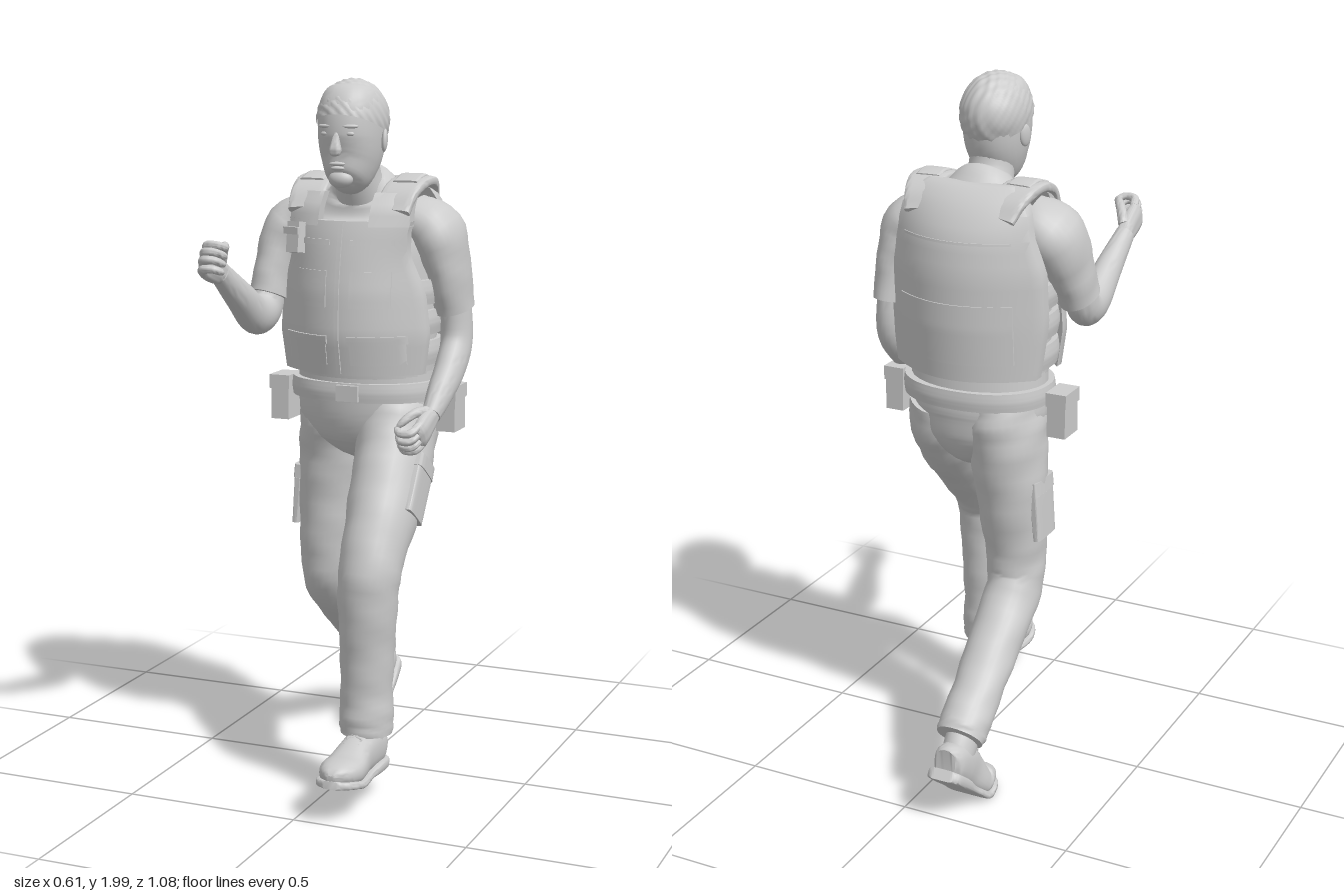
import * as THREE from 'three';
import { toCreasedNormals } from 'three/addons/utils/BufferGeometryUtils.js';

const material = new THREE.MeshStandardMaterial({ color: 0xcccccc, side: THREE.DoubleSide });
const V = (x, y, z) => new THREE.Vector3(x, y, z);

function add(parent, name, geometry, x = 0, y = 0, z = 0) {
  const mesh = new THREE.Mesh(geometry, material);
  mesh.name = name;
  mesh.position.set(x, y, z);
  parent.add(mesh);
  return mesh;
}

// Closed skin over rings of equal point count; both ends are zipped shut
function skin(rings) {
  const n = rings[0].length, last = (rings.length - 1) * n, index = [];
  for (let i = 0; i < rings.length - 1; i++) {
    for (let j = 0; j < n; j++) {
      const a = i * n + j, b = i * n + (j + 1) % n;
      index.push(a, b, b + n, a, b + n, a + n);
    }
  }
  for (let j = 0; j < n / 2 - 1; j++) {
    const a = j, b = j + 1, c = n - 2 - j, d = n - 1 - j;
    index.push(c, b, a, d, c, a);
    index.push(last + a, last + b, last + c, last + a, last + c, last + d);
  }
  const g = new THREE.BufferGeometry().setFromPoints(rings.flat());
  g.setIndex(index);
  return toCreasedNormals(g, 0.9);
}

// Loft through sections [x, y, z, half width, half depth]; power above 2 squares the section
function loft(sections, { power = 2, sides = 28, steps = 5, wrinkle = 0 } = {}) {
  const path = new THREE.CatmullRomCurve3(sections.map(s => V(s[0], s[1], s[2])), false, 'catmullrom', 0.5);
  const size = new THREE.CatmullRomCurve3(sections.map(s => V(s[3], s[4], 0)), false, 'catmullrom', 0.5);
  const count = (sections.length - 1) * steps, rings = [];
  const bend = c => Math.sign(c) * Math.abs(c) ** (2 / power);
  for (let i = 0; i <= count; i++) {
    const c = path.getPoint(i / count), r = size.getPoint(i / count), t = path.getTangent(i / count);
    const side = V(1, 0, 0).addScaledVector(t, -t.x).normalize();
    const front = t.clone().cross(side);
    rings.push(Array.from({ length: sides }, (_, j) => {
      const q = j / sides * Math.PI * 2;
      const k = 1 + wrinkle * Math.sin(i * 1.5 + 2 * Math.sin(q)) * Math.sin(q * 2 + i * 0.35);
      return c.clone().addScaledVector(side, r.x * k * bend(Math.cos(q))).addScaledVector(front, r.y * k * bend(Math.sin(q)));
    }));
  }
  return skin(rings);
}

const ball = (x, y, z) => new THREE.SphereGeometry(1, 20, 14).scale(x, y, z);

// Vest surface rows [y, half width, z at centre, how far the sides curve round]
const frontRows = [[1.19, 0.205, 0.175, 0.1], [1.3, 0.22, 0.197, 0.12], [1.42, 0.208, 0.193, 0.11],
  [1.52, 0.172, 0.178, 0.07], [1.6, 0.175, 0.162, 0.055], [1.65, 0.195, 0.142, 0.055], [1.7, 0.195, 0.1, 0.05]];
const backRows = [[1.2, 0.215, -0.215, 0.1], [1.35, 0.235, -0.228, 0.12], [1.5, 0.232, -0.228, 0.11],
  [1.6, 0.2, -0.212, 0.08], [1.68, 0.185, -0.168, 0.05], [1.725, 0.13, -0.11, 0.02]];

function rowAt(rows, y) {
  let i = 0;
  while (i < rows.length - 2 && y > rows[i + 1][0]) i++;
  const t = (y - rows[i][0]) / (rows[i + 1][0] - rows[i][0]);
  return rows[i].map((v, k) => THREE.MathUtils.lerp(v, rows[i + 1][k], t));
}

// Curved slab on the vest; x limits default to the full vest width
function panel(rows, dir, y0, y1, { x0, x1, lift = 0, thick = 0.02, nx = 20, ny = 16 } = {}) {
  const rings = [];
  for (let i = 0; i <= ny; i++) {
    const y = THREE.MathUtils.lerp(y0, y1, i / ny), [, half, z, sag] = rowAt(rows, y);
    const a = x0 ?? -half, b = x1 ?? half, outer = [], inner = [];
    for (let j = 0; j <= nx; j++) {
      const x = dir > 0 ? a + (b - a) * j / nx : b + (a - b) * j / nx;
      const d = z - dir * sag * (x / half) ** 2 + dir * lift;
      outer.push(V(x, y, d));
      inner.unshift(V(x, y, d - dir * thick));
    }
    rings.push([...outer, ...inner]);
  }
  return skin(rings);
}

// Half-closed hand: fingers along +y, palm facing +z
function makeHand(name, wrist, dir, palm, thumbSide, scale) {
  const hand = new THREE.Group();
  hand.name = name;
  add(hand, 'palm', loft([[0, -0.015, 0, 0.024, 0.02], [0, 0.025, 0, 0.034, 0.019], [0, 0.07, 0, 0.038, 0.017], [0, 0.088, 0.002, 0.03, 0.009]]));
  for (let i = 0; i < 4; i++) {
    const x = -0.028 + i * 0.0187, l = i === 0 || i === 3 ? -0.007 : 0;
    add(hand, 'finger', loft([[x, 0.07, 0, 0.01, 0.01], [x, 0.107 + l, 0.01, 0.0105, 0.0105], [x, 0.113 + l, 0.036, 0.009, 0.009],
      [x, 0.09, 0.05, 0.008, 0.008], [x, 0.082, 0.049, 0.003, 0.003]], { sides: 12 }));
  }
  const s = thumbSide;
  add(hand, 'thumb', loft([[s * 0.022, 0.01, 0.004, 0.013, 0.013], [s * 0.04, 0.042, 0.02, 0.012, 0.012],
    [s * 0.037, 0.075, 0.04, 0.01, 0.01], [s * 0.03, 0.09, 0.05, 0.004, 0.004]], { sides: 12 }));
  const y = dir.normalize(), x = y.clone().cross(palm).normalize(), z = x.clone().cross(y);
  hand.quaternion.setFromRotationMatrix(new THREE.Matrix4().makeBasis(x, y, z));
  hand.position.copy(wrist);
  hand.scale.setScalar(scale);
  return hand;
}

// Laced shoe, heel at the origin and toe towards +z; the toe bends at the ball
function makeShoe(name, toeBend) {
  const shoe = new THREE.Group();
  shoe.name = name;
  const flex = g => {
    const p = g.attributes.position;
    for (let i = 0; i < p.count; i++) {
      const y = p.getY(i), z = p.getZ(i) - 0.21;
      const q = toeBend * THREE.MathUtils.clamp(z / 0.05, 0, 1);
      if (z > 0) p.setXYZ(i, p.getX(i), y * Math.cos(q) + z * Math.sin(q), 0.21 + z * Math.cos(q) - y * Math.sin(q));
    }
    return toCreasedNormals(g, 0.9);
  };
  const plan = [[0, 0.03, 0.08], [0.02, 0.045, 0.105], [0.08, 0.049, 0.125], [0.14, 0.049, 0.113],
    [0.2, 0.058, 0.087], [0.25, 0.06, 0.075], [0.295, 0.045, 0.06], [0.32, 0.014, 0.035]];
  add(shoe, 'upper', flex(loft(plan.map(([z, w, h]) => [0, h / 2 + 0.004, z, w, h / 2]), { power: 2.4 })));
  add(shoe, 'sole', flex(loft(plan.map(([z, w]) => [0, z < 0.1 ? 0.014 : 0.011, z * 1.02 - 0.003, w + 0.006, z < 0.1 ? 0.016 : 0.011]), { power: 6 })));
  add(shoe, 'ankleCollar', loft([[0, 0.07, 0.062, 0.045, 0.055], [0, 0.12, 0.06, 0.046, 0.055], [0, 0.16, 0.06, 0.046, 0.052]]));
  for (let i = 0; i < 4; i++) {
    for (const s of [-1, 1]) {
      const lace = add(shoe, 'lace', new THREE.CapsuleGeometry(0.0035, 0.045, 3, 8).rotateZ(Math.PI / 2), 0, 0.127 - i * 0.011, 0.125 + i * 0.02);
      lace.rotation.set(0.45, s * 0.4, 0);
    }
  }
  return shoe;
}

export function createModel() {
  const model = new THREE.Group();
  model.name = 'runningOfficer';

  // Trousers and shirt
  const cloth = { wrinkle: 0.028 };
  add(model, 'hips', loft([[0, 0.915, -0.05, 0.03, 0.05], [0, 0.95, -0.05, 0.1, 0.1], [0, 1.0, -0.045, 0.178, 0.135], [0, 1.06, -0.035, 0.202, 0.153], [0, 1.12, -0.03, 0.203, 0.157], [0, 1.2, -0.025, 0.2, 0.155]], { steps: 8 }));
  add(model, 'leftTrouserLeg', loft([[0.088, 1.12, -0.06, 0.1, 0.12], [0.1, 1.04, -0.025, 0.107, 0.142], [0.11, 0.94, 0.045, 0.108, 0.132], [0.12, 0.82, 0.145, 0.1, 0.113],
    [0.123, 0.69, 0.238, 0.088, 0.092], [0.12, 0.6, 0.257, 0.085, 0.086], [0.116, 0.46, 0.252, 0.077, 0.079], [0.113, 0.33, 0.25, 0.073, 0.074],
    [0.113, 0.245, 0.25, 0.076, 0.08], [0.113, 0.2, 0.252, 0.073, 0.076]], cloth));
  add(model, 'rightTrouserLeg', loft([[-0.088, 1.12, -0.05, 0.1, 0.125], [-0.1, 1.04, -0.055, 0.107, 0.135], [-0.11, 0.93, -0.06, 0.106, 0.117], [-0.12, 0.78, -0.053, 0.098, 0.1],
    [-0.125, 0.64, -0.045, 0.086, 0.088], [-0.13, 0.54, -0.07, 0.08, 0.085], [-0.13, 0.425, -0.19, 0.077, 0.074], [-0.133, 0.325, -0.305, 0.072, 0.067],
    [-0.135, 0.255, -0.39, 0.072, 0.073], [-0.135, 0.228, -0.422, 0.068, 0.068]], cloth));
  add(model, 'shirt', loft([[0, 1.15, -0.025, 0.198, 0.15], [0, 1.3, -0.02, 0.205, 0.165], [0, 1.45, -0.02, 0.2, 0.165],
    [0, 1.55, -0.02, 0.195, 0.15], [0, 1.63, -0.02, 0.175, 0.115], [0, 1.69, 0, 0.11, 0.09], [0, 1.725, 0.025, 0.07, 0.07]]));
  add(model, 'leftSleeve', loft([[0.13, 1.625, -0.03, 0.06, 0.085], [0.204, 1.578, -0.035, 0.076, 0.1], [0.235, 1.48, -0.052, 0.058, 0.094], [0.246, 1.36, -0.077, 0.053, 0.078]], cloth));
  add(model, 'rightSleeve', loft([[-0.13, 1.625, 0, 0.06, 0.085], [-0.208, 1.578, 0.015, 0.076, 0.1], [-0.24, 1.48, 0.055, 0.058, 0.085], [-0.25, 1.39, 0.09, 0.055, 0.07]], cloth));

  // Arms and hands
  add(model, 'leftArm', loft([[0.246, 1.42, -0.065, 0.045, 0.055], [0.255, 1.28, -0.07, 0.044, 0.055], [0.256, 1.2, -0.015, 0.042, 0.052], [0.251, 1.135, 0.055, 0.036, 0.042], [0.247, 1.085, 0.11, 0.026, 0.031]]));
  add(model, 'rightArm', loft([[-0.25, 1.45, 0.07, 0.045, 0.055], [-0.254, 1.36, 0.11, 0.046, 0.055], [-0.25, 1.35, 0.19, 0.045, 0.055], [-0.246, 1.41, 0.29, 0.039, 0.045], [-0.25, 1.49, 0.405, 0.027, 0.032]]));
  model.add(makeHand('leftHand', V(0.247, 1.085, 0.11), V(-0.05, -0.5, 0.8), V(-1, 0, 0), -1, 1.12));
  model.add(makeHand('rightHand', V(-0.25, 1.49, 0.405), V(0, 0.42, 0.9), V(1, 0, 0), 1, 1.2));

  // Shoes
  const leftShoe = makeShoe('leftShoe', 0.15);
  leftShoe.position.set(0.113, 0.085, 0.19);
  leftShoe.rotation.x = -0.05;
  const rightShoe = makeShoe('rightShoe', 0.6);
  rightShoe.position.set(-0.135, 0.152, -0.535);
  rightShoe.rotation.x = 0.68;
  model.add(leftShoe, rightShoe);

  // Head and face
  const head = new THREE.Group();
  head.name = 'head';
  model.add(head);
  add(head, 'neck', loft([[0, 1.66, 0, 0.08, 0.08], [0, 1.73, 0.04, 0.064, 0.068], [0, 1.82, 0.06, 0.06, 0.072]]));
  add(head, 'skull', loft([[0, 1.703, 0.14, 0.022, 0.03], [0, 1.725, 0.125, 0.054, 0.068], [0, 1.77, 0.1, 0.075, 0.094], [0, 1.82, 0.085, 0.085, 0.112],
    [0, 1.88, 0.08, 0.088, 0.116], [0, 1.93, 0.075, 0.085, 0.108], [0, 1.97, 0.07, 0.064, 0.08], [0, 1.985, 0.068, 0.02, 0.03]], { power: 2.2 }));
  const hair = new THREE.SphereGeometry(1, 72, 40, 0, Math.PI * 2, 0, 1.8).rotateX(-0.4);
  const hp = hair.attributes.position;
  for (let i = 0; i < hp.count; i++) {
    const v = V().fromBufferAttribute(hp, i);
    v.multiplyScalar(1 + 0.02 * Math.sin(v.x * 19 + v.y * 9) * Math.sin(v.z * 21 - v.y * 11));
    hp.setXYZ(i, v.x, v.y, v.z);
  }
  hair.scale(0.096, 0.112, 0.124).computeVertexNormals();
  add(head, 'hair', hair, 0, 1.886, 0.075);
  add(head, 'nose', loft([[0, 1.863, 0.185, 0.008, 0.008], [0, 1.835, 0.195, 0.011, 0.012], [0, 1.808, 0.2, 0.018, 0.017], [0, 1.797, 0.196, 0.012, 0.01]], { sides: 16 }));
  add(head, 'upperLip', ball(0.024, 0.006, 0.009), 0, 1.772, 0.187);
  add(head, 'lowerLip', ball(0.02, 0.006, 0.009), 0, 1.76, 0.184);
  add(head, 'chin', ball(0.035, 0.025, 0.025), 0, 1.73, 0.162);
  for (const s of [-1, 1]) {
    add(head, 'eye', ball(0.014, 0.007, 0.008), s * 0.035, 1.853, 0.184);
    add(head, 'brow', ball(0.024, 0.006, 0.009), s * 0.036, 1.873, 0.184).rotation.y = s * 0.3;
    add(head, 'ear', ball(0.009, 0.032, 0.02), s * 0.09, 1.832, 0.068).rotation.set(-0.15, s * 0.3, 0);
  }

  // Armour vest: plates, yokes, pockets, shoulder straps and side bands
  const vest = new THREE.Group();
  vest.name = 'vest';
  model.add(vest);
  add(vest, 'frontPlate', panel(frontRows, 1, 1.19, 1.615, { thick: 0.03 }));
  add(vest, 'backPlate', panel(backRows, -1, 1.2, 1.725, { thick: 0.035 }));
  add(vest, 'zip', panel(frontRows, 1, 1.195, 1.61, { x0: -0.006, x1: 0.006, lift: 0.005, nx: 2 }));
  for (const s of [-1, 1]) {
    const patch = (name, a, b, y0, y1, lift, thick = 0.02) => add(vest, name, panel(frontRows, 1, y0, y1, { x0: Math.min(s * a, s * b), x1: Math.max(s * a, s * b), lift, thick, nx: 8, ny: 6 }));
    patch('frontYoke', 0.075, 0.178, 1.6, 1.69, 0, 0.035);
    patch('chestPocket', 0.035, 0.14, 1.38, 1.48, 0.004);
    patch('chestFlap', 0.03, 0.145, 1.55, 1.565, 0.005);
    patch('lowerPocket', 0.035, 0.175, 1.22, 1.3, 0.004);
    patch('pocketFlap', 0.03, 0.18, 1.28, 1.302, 0.008);
    add(vest, 'shoulderStrap', loft([[s * 0.13, 1.64, 0.108, 0.05, 0.012], [s * 0.135, 1.685, 0.07, 0.052, 0.013], [s * 0.14, 1.712, 0.01, 0.054, 0.014],
      [s * 0.14, 1.715, -0.06, 0.054, 0.014], [s * 0.13, 1.69, -0.115, 0.05, 0.012], [s * 0.12, 1.65, -0.15, 0.045, 0.01]], { power: 6 }));
    add(vest, 'strapPad', loft([[s * 0.14, 1.712, 0.04, 0.036, 0.01], [s * 0.14, 1.728, -0.02, 0.036, 0.01], [s * 0.137, 1.72, -0.07, 0.036, 0.01]], { power: 6 }));
  }
  add(vest, 'backUpperSeam', panel(backRows, -1, 1.585, 1.592, { x0: -0.16, x1: 0.16, lift: 0.003, ny: 2 }));
  add(vest, 'backPocket', panel(backRows, -1, 1.25, 1.42, { x0: -0.17, x1: 0.17, lift: 0.004 }));
  for (let i = 0; i < 3; i++) {
    const y = 1.245 + i * 0.085;
    add(vest, 'sideBand', loft([[0, y - 0.034, -0.02, 0.215, 0.165], [0, y, -0.02, 0.22, 0.17], [0, y + 0.034, -0.02, 0.215, 0.165]], { power: 2.5, sides: 48 }));
  }
  add(vest, 'radio', new THREE.BoxGeometry(0.045, 0.085, 0.03), -0.142, 1.565, 0.145).rotation.set(-0.15, -0.35, 0);
  add(vest, 'radioClip', new THREE.BoxGeometry(0.055, 0.02, 0.012), -0.147, 1.585, 0.163).rotation.y = -0.35;

  // Belt, pouches and thigh pockets
  add(model, 'belt', loft([[0, 1.108, -0.03, 0.216, 0.168], [0, 1.135, -0.03, 0.219, 0.171], [0, 1.162, -0.03, 0.216, 0.168]], { power: 2.2, sides: 48 }));
  add(model, 'buckle', new THREE.BoxGeometry(0.065, 0.045, 0.016), 0.01, 1.135, 0.142);
  for (const s of [-1, 1]) {
    add(model, 'beltPouch', new THREE.BoxGeometry(0.055, 0.125, 0.085), s * 0.255, 1.085, -0.025);
    add(model, 'pouchFlap', new THREE.BoxGeometry(0.062, 0.04, 0.092), s * 0.255, 1.132, -0.025);
  }
  const pocket = (name, x, y, z, tilt, lean) => {
    add(model, name, loft([[0, -0.085, 0, 0.012, 0.058], [0, 0.05, 0, 0.014, 0.06], [0, 0.085, 0, 0.013, 0.058]], { power: 4 }), x, y, z).rotation.set(tilt, 0, lean);
    add(model, name + 'Flap', loft([[0, 0.05, 0, 0.017, 0.062], [0, 0.09, 0, 0.016, 0.061]], { power: 4 }), x, y, z).rotation.set(tilt, 0, lean);
  };
  pocket('leftThighPocket', 0.21, 0.87, 0.105, -0.63, 0.03);
  pocket('rightThighPocket', -0.209, 0.8, -0.05, 0, -0.08);

  return model;
}
